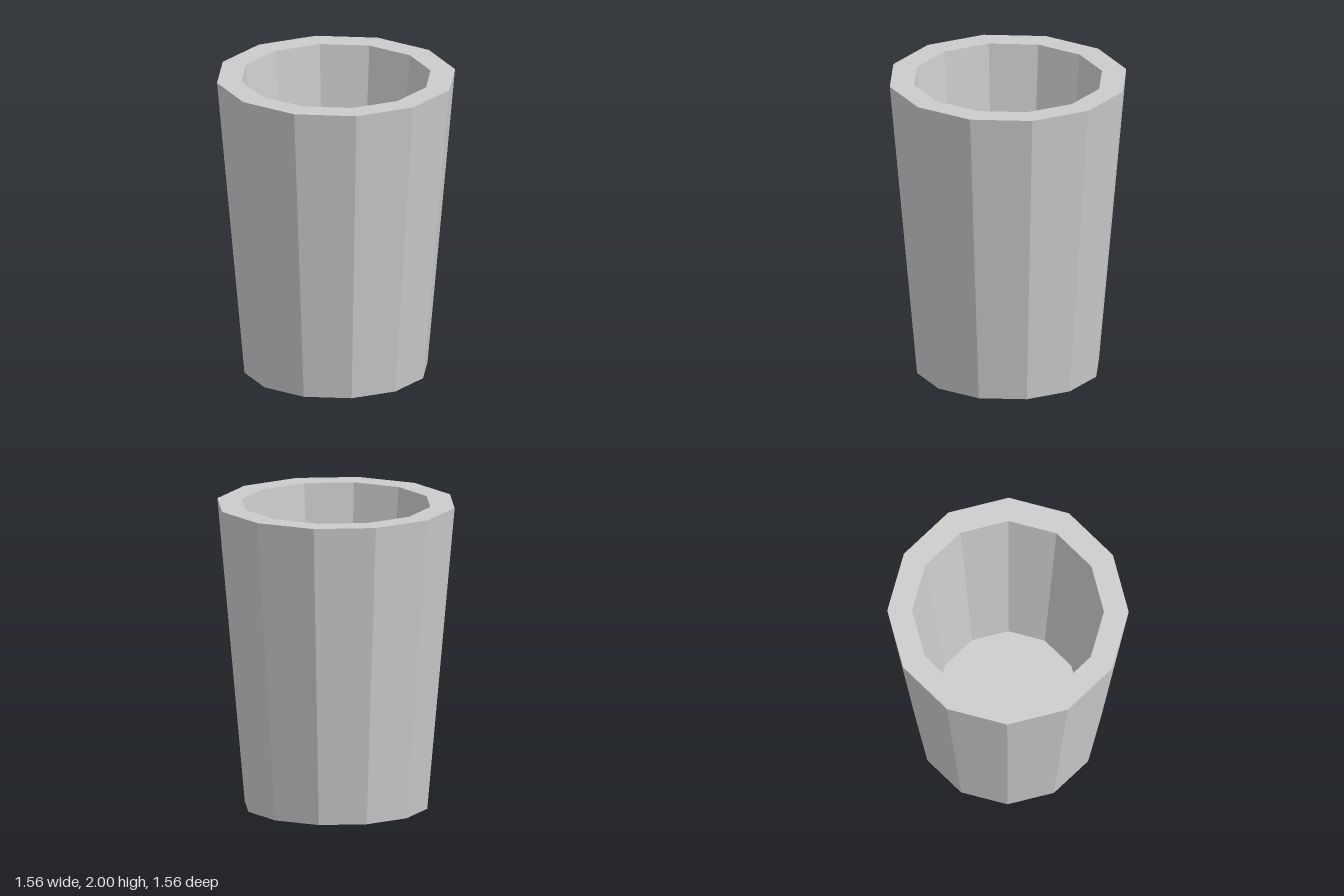
import * as THREE from 'three';

export function createModel() {
  const group = new THREE.Group();
  group.name = 'cup';
  const material = new THREE.MeshStandardMaterial({ color: 0xcccccc, flatShading: true });

  // Closed profile: underside, outer wall, flat rim, parallel inner wall, floor
  const profile = [
    [0, 0], [0.6, 0], [0.78, 2], [0.62, 2], [0.47, 0.33], [0, 0.33],
  ].map(([r, y]) => new THREE.Vector2(r, y));

  // Twelve-sided tapered tumbler
  const tumbler = new THREE.Mesh(new THREE.LatheGeometry(profile, 12), material);
  tumbler.name = 'tumbler';
  group.add(tumbler);
  return group;
}
